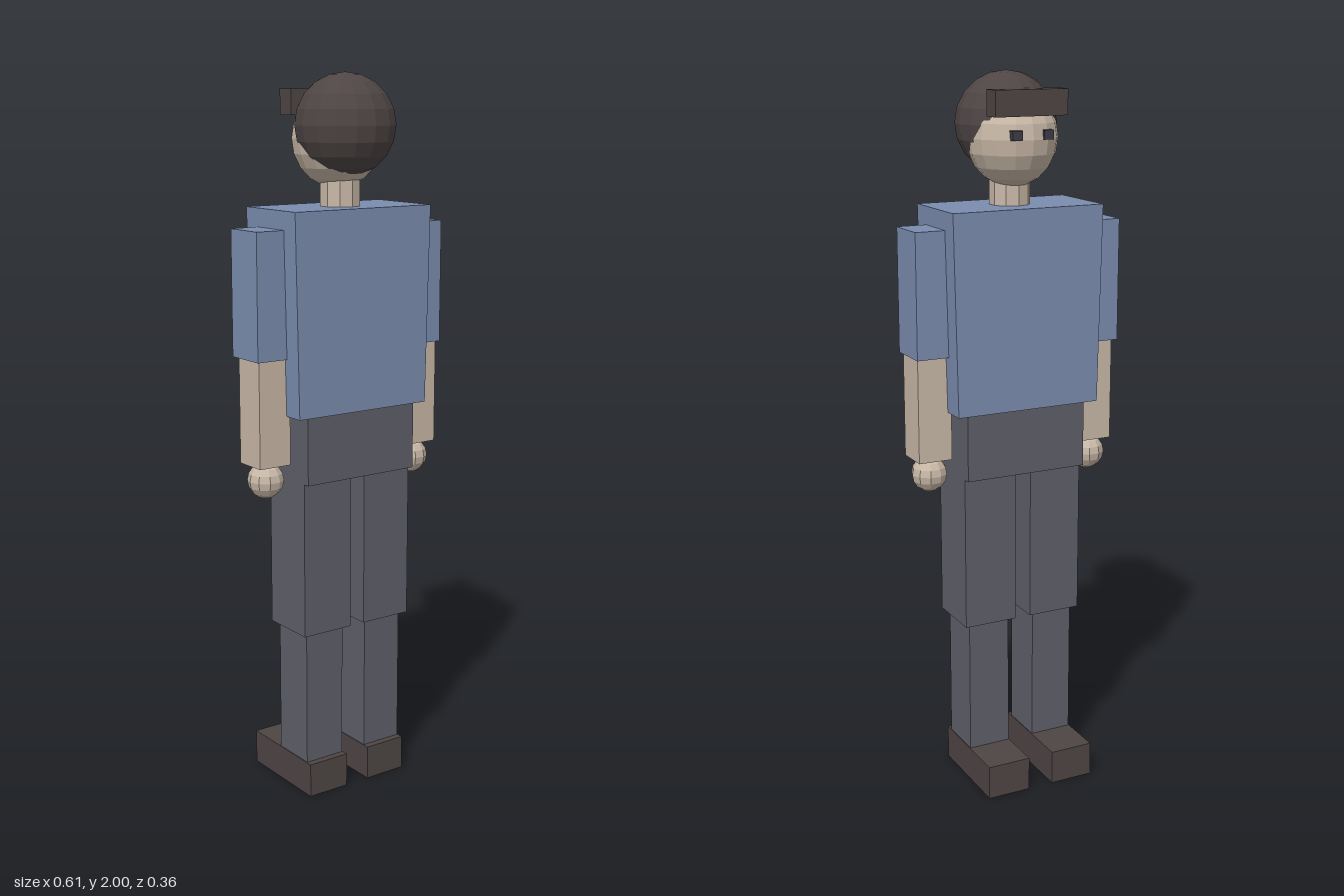
import * as THREE from 'three';

const mat = (name, color) => {
  const m = new THREE.MeshStandardMaterial({ color, flatShading: true });
  m.name = name;
  return m;
};

export function createModel() {
  const model = new THREE.Group();
  model.name = 'figure';
  const shirt = mat('shirt blue', 0x7a8cae);
  const skin = mat('skin', 0xc8b8a7);
  const trousers = mat('trouser grey', 0x5f5f69);
  const dark = mat('hair and shoe brown', 0x4e4544);
  const eyeDark = mat('eye dark', 0x3c3c46);

  const add = (name, geometry, material, x = 0, y = 0, z = 0) => {
    const mesh = new THREE.Mesh(geometry, material);
    mesh.name = name;
    mesh.position.set(x, y, z);
    model.add(mesh);
    return mesh;
  };
  // Box given by its lower and upper limits on each axis
  const box = (name, material, [x0, x1], [y0, y1], [z0, z1]) =>
    add(name, new THREE.BoxGeometry(x1 - x0, y1 - y0, z1 - z0), material,
      (x0 + x1) / 2, (y0 + y1) / 2, (z0 + z1) / 2);

  // Torso, slightly narrower at the hem
  const torso = box('torso', shirt, [-0.222, 0.222], [1.105, 1.65], [-0.102, 0.13]);
  const p = torso.geometry.attributes.position;
  for (let i = 0; i < p.count; i++) if (p.getY(i) < 0) p.setX(i, p.getX(i) * 0.95);
  torso.geometry.computeVertexNormals();

  box('pelvis', trousers, [-0.178, 0.178], [0.918, 1.105], [-0.087, 0.12]);

  // Limbs, mirrored; s = 1 is the +x side
  for (const s of [1, -1]) {
    const side = s > 0 ? 'left' : 'right';
    const limb = (name, material, [a, b], ys, zs) =>
      box(side + name, material, s > 0 ? [a, b] : [-b, -a], ys, zs);
    limb('Sleeve', shirt, [0.185, 0.305], [1.26, 1.6], [-0.048, 0.076]);
    limb('Forearm', skin, [0.2, 0.297], [0.97, 1.27], [-0.03, 0.068]);
    add(side + 'Hand', new THREE.SphereGeometry(0.05, 10, 8), skin, s * 0.248, 0.925, 0.018);
    limb('Thigh', trousers, [0.023, 0.178], [0.482, 0.93], [-0.065, 0.101]);
    limb('Shin', trousers, [0.039, 0.161], [0.06, 0.49], [-0.05, 0.084]);
    limb('Shoe', dark, [0.037, 0.163], [0, 0.097], [-0.18, 0.104]);
    limb('Eye', eyeDark, [0.031, 0.059], [1.828, 1.853], [-0.121, -0.09]);
  }

  // Neck, head and hair; the face points to -z
  add('neck', new THREE.CylinderGeometry(0.056, 0.056, 0.14, 10), skin, 0, 1.7, 0.018);
  const head = new THREE.SphereGeometry(1, 16, 10);
  head.scale(0.123, 0.131, 0.126);
  add('head', head, skin, 0, 1.828, 0.003);
  add('hair', new THREE.SphereGeometry(0.137, 16, 10), dark, 0, 1.863, 0.04);
  box('fringe', dark, [-0.105, 0.105], [1.888, 1.956], [-0.113, -0.06]);

  return model;
}
